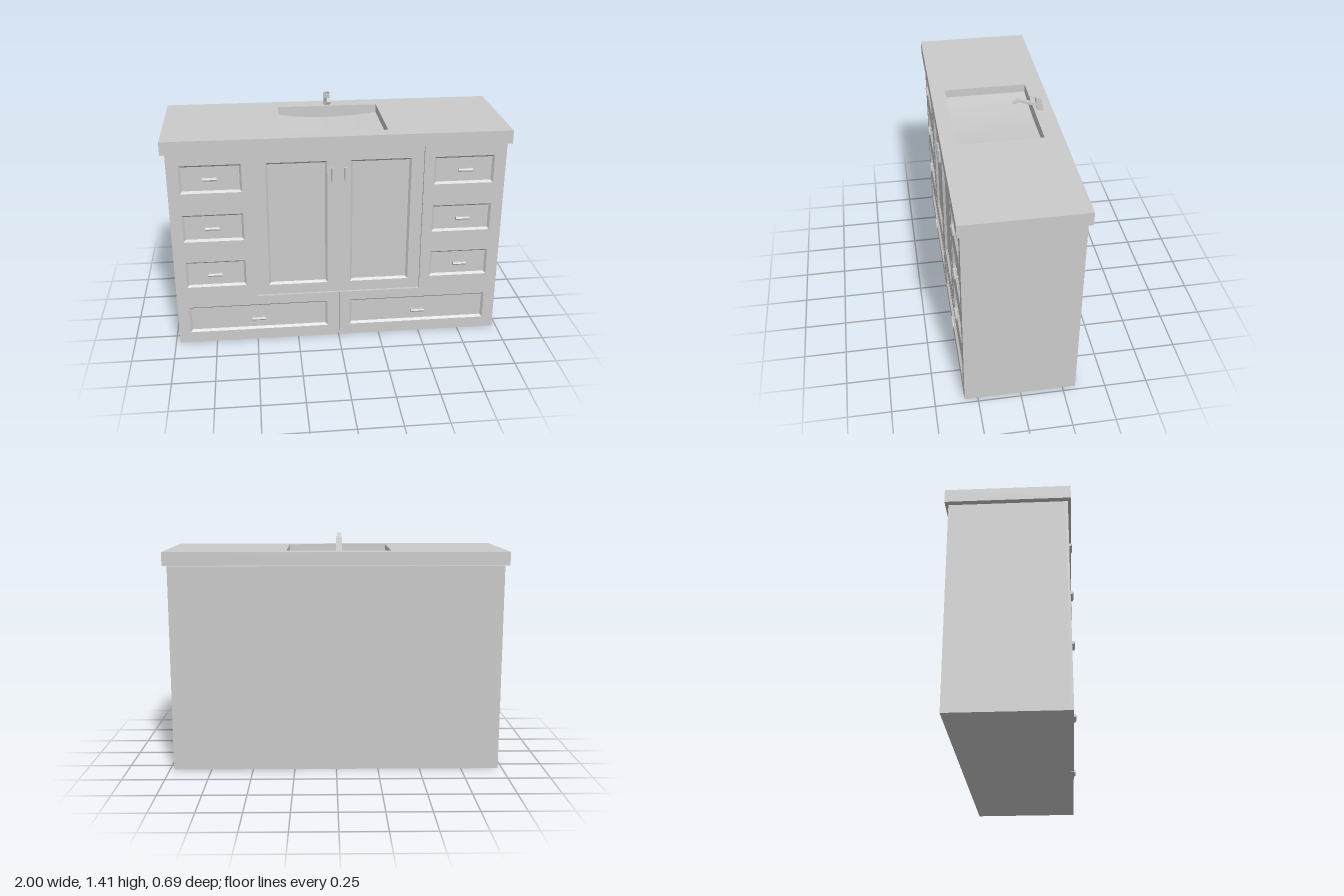
import * as THREE from 'three';

const mat = new THREE.MeshStandardMaterial({ color: 0xcccccc, flatShading: true, side: THREE.DoubleSide });

const FRONT = 0.328, BACK = 0.313, TOP = 1.223, COUNTER = 1.306;

function add(parent, name, geometry, x = 0, y = 0, z = 0) {
  const mesh = new THREE.Mesh(geometry, mat);
  mesh.name = name;
  mesh.position.set(x, y, z);
  parent.add(mesh);
  return mesh;
}

const outline = (pts) => new THREE.Shape(pts.map(([x, y]) => new THREE.Vector2(x, y)));
const corners = ([x0, x1, y0, y1]) => [[x0, y0], [x1, y0], [x1, y1], [x0, y1]];

// Sloping moulding from the front surface down to the recessed panel
function bevelRing([x0, x1, y0, y1], inset) {
  const outer = corners([x0, x1, y0, y1]);
  const inner = corners([x0 + inset, x1 - inset, y0 + inset, y1 - inset]);
  const pos = [];
  for (let i = 0; i < 4; i++) {
    const j = (i + 1) % 4;
    const a = [...outer[i], FRONT], b = [...outer[j], FRONT];
    const c = [...inner[j], BACK + 0.001], d = [...inner[i], BACK + 0.001];
    pos.push(...a, ...b, ...c, ...a, ...c, ...d);
  }
  const g = new THREE.BufferGeometry();
  g.setAttribute('position', new THREE.Float32BufferAttribute(pos, 3));
  g.computeVertexNormals();
  return g;
}

// Front slab with moulded recesses
function frontSlab(parent, name, pts, recesses) {
  const group = new THREE.Group();
  group.name = name;
  const shape = outline(pts);
  for (const r of recesses) {
    shape.holes.push(new THREE.Path(corners(r).map(([x, y]) => new THREE.Vector2(x, y))));
    add(group, 'moulding', bevelRing(r, 0.012));
  }
  add(group, 'frame', new THREE.ExtrudeGeometry(shape, { depth: FRONT - BACK, bevelEnabled: false }), 0, 0, BACK);
  parent.add(group);
}

// Hexagonal bar pull on a short mount
function pull(parent, name, x, y, vertical) {
  const group = new THREE.Group();
  group.name = name;
  const bar = new THREE.CylinderGeometry(0.01, 0.01, 0.082, 6).rotateZ(Math.PI / 2).scale(1, 1, 0.95);
  add(group, 'bar', bar, 0, 0, 0.336);
  for (const s of [-1, 1]) add(group, 'post', new THREE.BoxGeometry(0.01, 0.01, 0.022), s * 0.03, 0, 0.323);
  group.position.set(x, y, 0);
  if (vertical) group.rotation.z = Math.PI / 2;
  parent.add(group);
}

// Side profile given as [z, y], extruded across x about the centre
function sideProfile(pts, width) {
  return new THREE.ExtrudeGeometry(outline(pts), { depth: width, bevelEnabled: false })
    .translate(0, 0, -width / 2).rotateY(-Math.PI / 2);
}

export function createModel() {
  const model = new THREE.Group();
  model.name = 'vanity';

  // Cabinet carcass; gaps between the front slabs show it as grooves
  add(model, 'cabinetBody', new THREE.BoxGeometry(1.95, TOP, BACK + 0.326), 0, TOP / 2, (BACK - 0.326) / 2);

  // Drawer banks and door pulls, mirrored left and right
  const rows = [[0.985, 1.155], [0.68, 0.85], [0.38, 0.547]];
  for (const s of [1, -1]) {
    const span = (a, b) => (s > 0 ? [a, b] : [-b, -a]);
    const pts = [[0.004, 0], [0.975, 0], [0.975, TOP], [0.495, TOP], [0.495, 0.3], [0.004, 0.3]];
    const recesses = rows.map(([y0, y1]) => [...span(0.555, 0.907), y0, y1]);
    recesses.push([...span(0.068, 0.907), 0.07, 0.242]);
    frontSlab(model, s > 0 ? 'leftDrawers' : 'rightDrawers', pts.map(([x, y]) => [s * x, y]), recesses);
    for (const y of [1.072, 0.765, 0.463]) pull(model, 'drawerPull', s * 0.736, y, false);
    pull(model, 'bottomDrawerPull', s * 0.49, 0.147, false);
    pull(model, 'doorPull', s * 0.037, 1.073, true);
  }

  // Central doors
  frontSlab(model, 'doors', corners([-0.486, 0.486, 0.309, TOP]),
    [[0.068, 0.42, 0.373, 1.155], [-0.42, -0.068, 0.373, 1.155]]);

  // Countertop with a rectangular sink opening
  const top = outline(corners([-1, 1, -0.345, 0.345]));
  top.holes.push(new THREE.Path(corners([-0.32, 0.29, -0.258, 0.237]).map(([x, y]) => new THREE.Vector2(x, y))));
  add(model, 'countertop',
    new THREE.ExtrudeGeometry(top, { depth: COUNTER - 1.228, bevelEnabled: false }).rotateX(-Math.PI / 2), 0, 1.228, 0);

  // Gently dished sink floor
  const floor = new THREE.PlaneGeometry(0.61, 0.495, 16, 1).rotateX(-Math.PI / 2);
  const p = floor.attributes.position;
  for (let i = 0; i < p.count; i++) p.setY(i, -0.072 + 0.022 * (p.getX(i) / 0.305) ** 2);
  floor.computeVertexNormals();
  add(model, 'sinkFloor', floor, -0.015, COUNTER, 0.0105);

  // Tap: leaning body, bent spout and thin lever
  const faucet = new THREE.Group();
  faucet.name = 'faucet';
  faucet.position.x = -0.016;
  add(faucet, 'faucetBody', sideProfile(
    [[-0.29, COUNTER], [-0.254, COUNTER], [-0.246, 1.335], [-0.243, 1.388], [-0.276, 1.378]], 0.034));
  add(faucet, 'spout', sideProfile(
    [[-0.25, 1.333], [-0.142, 1.37], [-0.115, 1.357], [-0.107, 1.366], [-0.142, 1.385], [-0.25, 1.35]], 0.024));
  add(faucet, 'lever', sideProfile(
    [[-0.276, 1.376], [-0.24, 1.389], [-0.2, 1.403], [-0.2, 1.408], [-0.24, 1.395], [-0.276, 1.382]], 0.022));
  model.add(faucet);

  return model;
}
